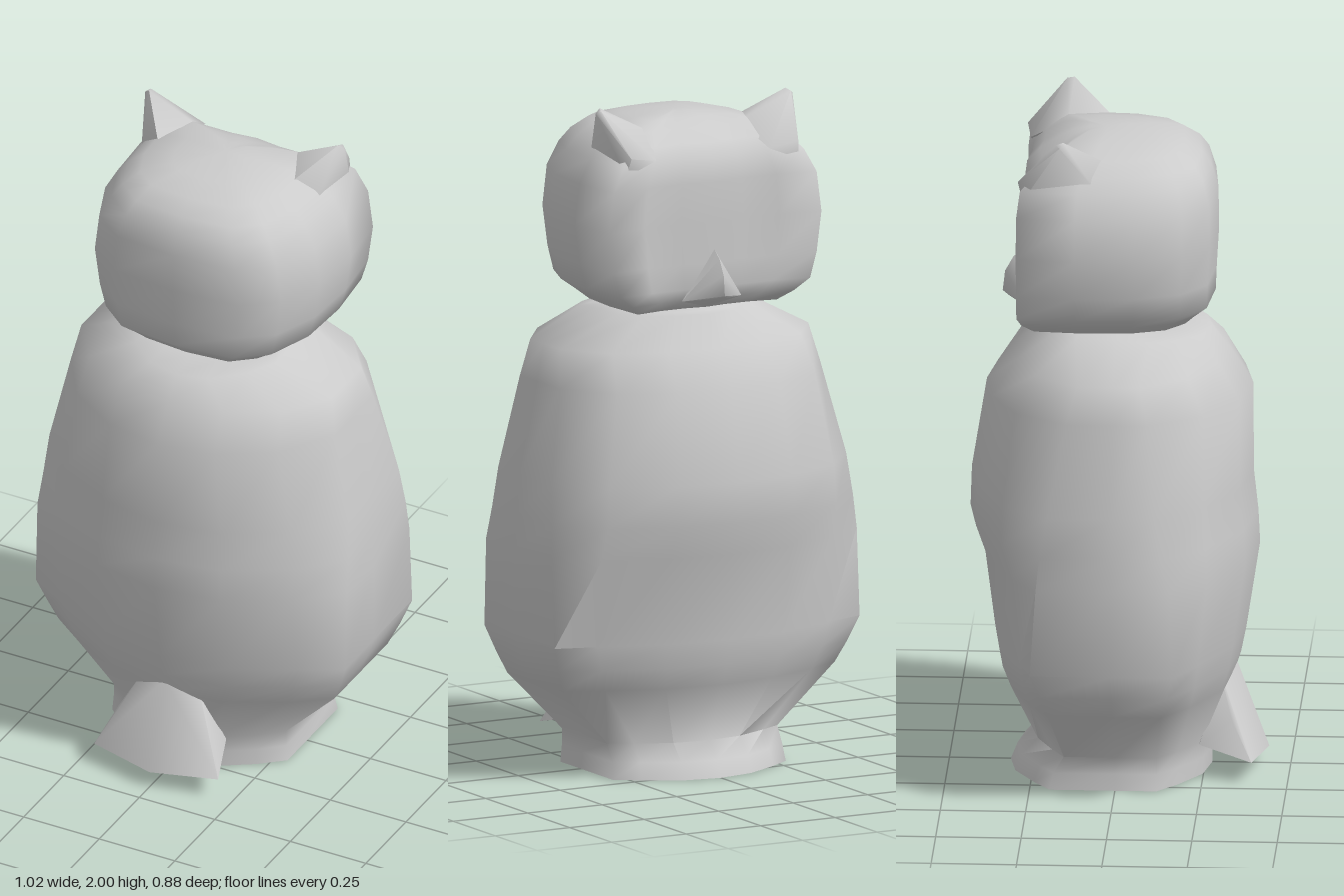
import * as THREE from 'three';
import { mergeVertices, toCreasedNormals } from 'three/addons/utils/BufferGeometryUtils.js';
import { ConvexGeometry } from 'three/addons/geometries/ConvexGeometry.js';

const material = new THREE.MeshStandardMaterial({ color: 0xcccccc });

function addPart(group, name, geometry, crease) {
  const mesh = new THREE.Mesh(toCreasedNormals(geometry, crease), material);
  mesh.name = name;
  group.add(mesh);
}

// Skin mirrored horizontal sections.
// Row: [y, halfWidth, frontZ, backZ, length of the flat side, back lift].
// Half-section point: [x share of width, z share; negative = towards the face].
function loft(half, rows) {
  const ring = [...half, ...half.slice(1, -1).reverse().map(([x, z]) => [-x, z])];
  const n = ring.length, pos = [], idx = [];
  for (const [y, w, zf, zb, side = 1, lift = 0] of rows) {
    for (const [x, share] of ring) {
      const z = Math.abs(x) === 1 ? share * side : share;
      pos.push(x * w, y + lift * Math.max(z, 0), z < 0 ? -z * zf : z * zb);
    }
  }
  for (let r = 0; r < rows.length - 1; r++) {
    for (let i = 0; i < n; i++) {
      const a = r * n + i, b = r * n + (i + 1) % n;
      idx.push(a, a + n, b, b, a + n, b + n);
    }
  }
  // End caps
  const last = rows.length - 1;
  for (const r of [0, last]) {
    const [y, , zf, zb, , lift = 0] = rows[r];
    const c = pos.length / 3;
    pos.push(0, y + lift / 2, (zf + zb) / 2);
    for (let i = 0; i < n; i++) {
      const a = r * n + i, b = r * n + (i + 1) % n;
      if (r === 0) idx.push(c, a, b);
      else idx.push(c, b, a);
    }
  }
  const g = new THREE.BufferGeometry();
  g.setAttribute('position', new THREE.Float32BufferAttribute(pos, 3));
  g.setIndex(idx);
  return mergeVertices(g);
}

function hull(points) {
  return new ConvexGeometry(points.map(p => new THREE.Vector3(...p)));
}

export function createModel() {
  const model = new THREE.Group();
  model.name = 'owl';

  // Body with flat wing sides that narrow upwards, and a narrow foot
  const bodyHalf = [
    [0, -1], [0.39, -0.94], [0.76, -0.75], [1, -0.6], [1, 0],
    [1, 0.45], [0.76, 0.67], [0.4, 0.92], [0, 1],
  ];
  addPart(model, 'body', loft(bodyHalf, [
    [0, 0.29, -0.32, 0.27],
    [0.05, 0.285, -0.3, 0.27],
    [0.1, 0.285, -0.25, 0.27],
    [0.28, 0.457, -0.33, 0.335, 0.95],
    [0.345, 0.485, -0.355, 0.355],
    [0.42, 0.512, -0.367, 0.37, 1.08],
    [0.68, 0.512, -0.4, 0.41, 0.92],
    [0.78, 0.505, -0.438, 0.405, 0.8],
    [0.9, 0.495, -0.434, 0.392, 0.72],
    [1.17, 0.437, -0.39, 0.39, 0.58],
    [1.28, 0.415, -0.315, 0.32, 0.55],
    [1.37, 0.24, -0.245, 0.27, 0.8, -0.025],
    [1.38, 0.22, -0.24, 0.18, 0.8, -0.02],
  ]), 1.25);

  // Head: shallow eye hollows beside a central ridge, rounded back
  const headHalf = [
    [0, -0.98], [0.28, -0.94], [0.6, -0.94], [0.95, -1], [1, -0.4],
    [0.97, 0.2], [0.82, 0.68], [0.55, 0.94], [0, 1],
  ];
  addPart(model, 'head', loft(headHalf, [
    [1.39, 0.245, -0.24, 0.21],
    [1.42, 0.285, -0.275, 0.24],
    [1.455, 0.335, -0.287, 0.28],
    [1.53, 0.358, -0.287, 0.283],
    [1.65, 0.375, -0.287, 0.29],
    [1.77, 0.358, -0.287, 0.288],
    [1.84, 0.318, -0.278, 0.268],
    [1.88, 0.283, -0.24, 0.24],
    [1.915, 0.235, -0.185, 0.19],
    [1.938, 0.14, -0.14, 0.11],
    [1.95, 0.05, -0.09, 0.01],
  ]), 1.65);

  // Pointed ears with broad fronts sloping down to the brow
  for (const s of [-1, 1]) {
    addPart(model, s > 0 ? 'leftEar' : 'rightEar', hull([
      [0.33 * s, 1.985, -0.16], [0.312 * s, 1.998, -0.15], [0.318 * s, 1.992, -0.172],
      [0.28 * s, 1.865, -0.285], [0.29 * s, 1.81, -0.27], [0.19 * s, 1.85, -0.272],
      [0.15 * s, 1.915, -0.16], [0.225 * s, 1.915, -0.04], [0.29 * s, 1.85, -0.06],
    ]), 1.3);
  }

  // Hooked beak
  addPart(model, 'beak', hull([
    [0, 1.57, -0.28], [0, 1.545, -0.312], [0, 1.5, -0.337], [0, 1.44, -0.344],
    [0.015, 1.43, -0.325], [-0.015, 1.43, -0.325],
    [0.1, 1.42, -0.265], [-0.1, 1.42, -0.265],
    [0.04, 1.5, -0.282], [-0.04, 1.5, -0.282], [0, 1.392, -0.24],
  ]), 1.2);

  // Flared tail blending into the lower back
  addPart(model, 'tail', hull([
    [0, 0.32, 0.34], [0.09, 0.3, 0.3], [-0.09, 0.3, 0.3],
    [0.155, 0.18, 0.335], [-0.155, 0.18, 0.335], [0, 0.18, 0.39],
    [0.205, 0.065, 0.395], [-0.205, 0.065, 0.395], [0, 0.052, 0.437],
    [0.15, 0.1, 0.24], [-0.15, 0.1, 0.24],
  ]), 1.0);

  return model;
}
